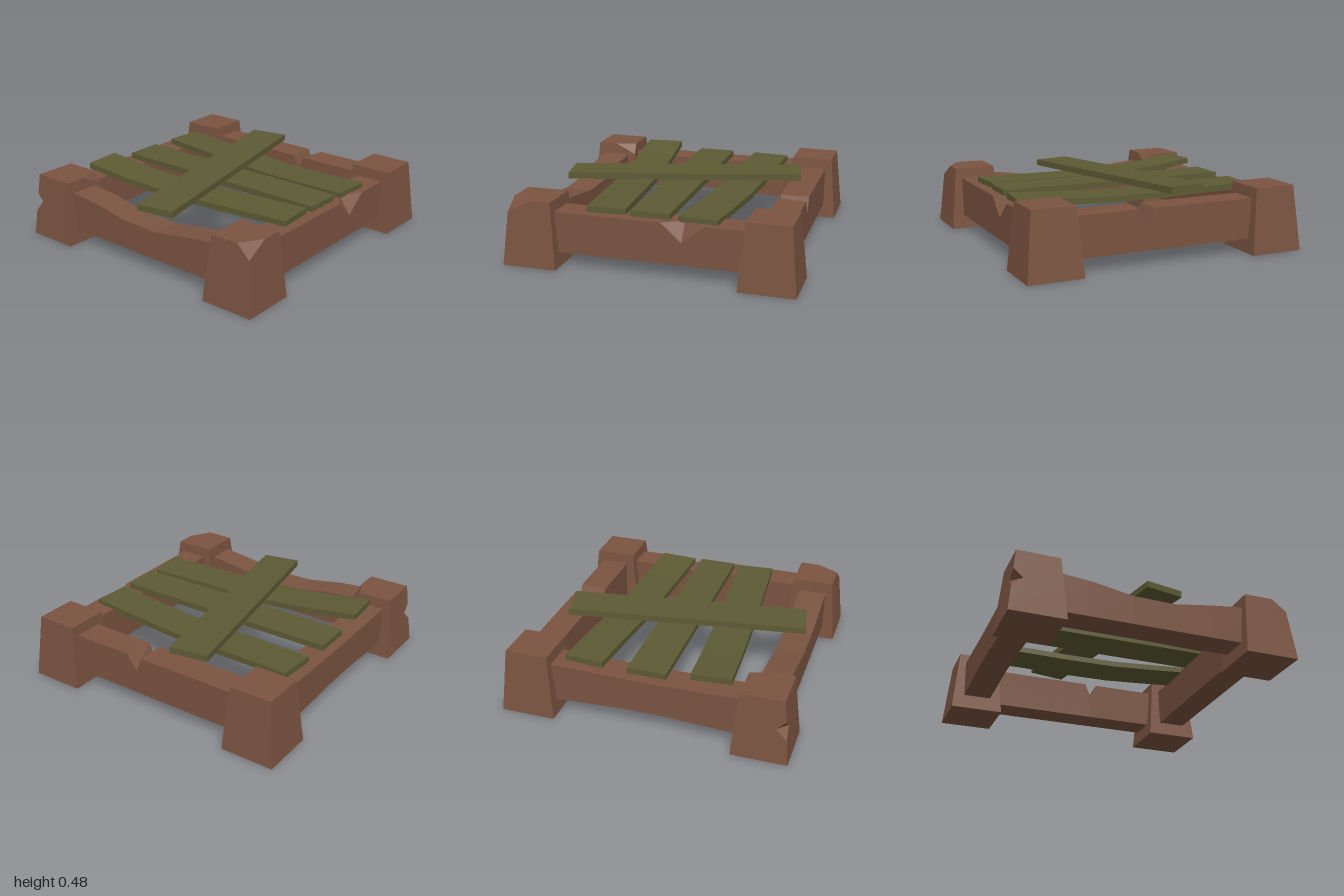
import * as THREE from 'three';
import { ConvexGeometry } from 'three/addons/geometries/ConvexGeometry.js';

const wood = new THREE.MeshStandardMaterial({ color: 0x7b5441, flatShading: true });
const plankWood = new THREE.MeshStandardMaterial({ color: 0x5d5b34, flatShading: true });

const H = 0.455;

// Solid from the corner points of a convex block
function block(points, name) {
  const geo = new ConvexGeometry(points.map((p) => new THREE.Vector3(...p)));
  const mesh = new THREE.Mesh(geo, wood);
  mesh.name = name;
  return mesh;
}

// Bar along z whose top and bottom follow evenly spaced heights
function bentBar(width, length, tops, bottoms, material, name) {
  const n = tops.length - 1;
  const geo = new THREE.BoxGeometry(width, 1, length, 1, 1, n);
  const pos = geo.attributes.position;
  for (let i = 0; i < pos.count; i++) {
    const k = Math.round((pos.getZ(i) / length + 0.5) * n);
    pos.setY(i, pos.getY(i) > 0 ? tops[k] : bottoms[k]);
  }
  geo.computeVertexNormals();
  const mesh = new THREE.Mesh(geo, material);
  mesh.name = name;
  return mesh;
}

// Horizontal section of a tapered post at height y: inner and outer limits
function limits(y) {
  const t = y / H;
  return [0.62 + 0.038 * t, 1 - 0.045 * t];
}

// Corner of a post section; sx, sz choose the quadrant, ox, oz the outer side
function corner(sx, sz, y, ox, oz) {
  const l = limits(y);
  return [sx * l[ox], y, sz * l[oz]];
}

function section(sx, sz, y, skip = '') {
  return [[0, 0], [1, 0], [1, 1], [0, 1]]
    .filter(([a, b]) => `${a}${b}` !== skip)
    .map(([a, b]) => corner(sx, sz, y, a, b));
}

function createPosts() {
  const posts = new THREE.Group();
  posts.name = 'cornerPosts';

  // Whole posts on the left
  for (const sz of [1, -1]) {
    posts.add(block([...section(1, sz, 0), ...section(1, sz, H)],
      sz > 0 ? 'frontLeftPost' : 'backLeftPost'));
  }

  // Front right post with a chipped outer top corner
  posts.add(block([
    ...section(-1, 1, 0), ...section(-1, 1, H, '11'),
    [-0.955, H, 0.865], [-0.8, H, 0.955], corner(-1, 1, 0.37, 1, 1),
  ], 'frontRightPost'));

  // Back right post: notch in the outer edge, chip at the inner top corner
  const back = new THREE.Group();
  back.name = 'backRightPost';
  const y = 0.25;
  const [, o] = limits(y);
  const waist = [...section(-1, -1, y, '11'), [-o, y, -o + 0.07], [-o + 0.07, y, -o]];
  back.add(block([...section(-1, -1, 0), ...waist, corner(-1, -1, 0.18, 1, 1)], 'postLower'));
  back.add(block([
    ...waist, corner(-1, -1, 0.31, 1, 1), ...section(-1, -1, H, '00'),
    [-0.81, H, -0.658], [-0.658, H, -0.71], corner(-1, -1, 0.38, 0, 0),
  ], 'postUpper'));
  posts.add(back);
  return posts;
}

function createBeams() {
  const beams = new THREE.Group();
  beams.name = 'beams';
  const E = 0.72, lo = 0.1, hi = 0.38, a = 0.71, b = 0.91;

  // Front beam, split at the crease of the chip in its top edge
  const chip = [[0.23, lo, a], [0.23, lo, b], [0.23, hi, a], [0.23, hi, 0.82], [0.23, 0.255, b]];
  for (const [end, lip] of [[-E, 0.09], [E, 0.385]]) {
    beams.add(block([
      ...chip, [lip, hi, b],
      [end, lo, a], [end, lo, b], [end, hi, a], [end, hi, b],
    ], 'frontBeam'));
  }

  // Left beam, split at the bottom of the V cut across it
  const cut = [[a, lo, 0.135], [b, lo, 0.135], [a, 0.27, 0.135], [b, 0.27, 0.135]];
  for (const [end, z1, z2] of [[-E, 0.09, 0.09], [E, 0.18, 0.21]]) {
    beams.add(block([
      ...cut, [a, hi, z1], [b, hi, z2],
      [a, lo, end], [b, lo, end], [a, hi, end], [b, hi, end],
    ], 'leftBeam'));
  }

  // Sagging right beam
  const right = bentBar(0.2, 2 * E, [0.38, 0.355, 0.305, 0.3, 0.345, 0.38],
    [0.1, 0.1, 0.1, 0.1, 0.1, 0.1], wood, 'rightBeam');
  right.position.x = -0.81;
  beams.add(right);

  // Back beam, slightly arched underneath
  const back = bentBar(0.2, 2 * E, [0.38, 0.375, 0.37, 0.37, 0.375, 0.38],
    [0.1, 0.115, 0.13, 0.13, 0.115, 0.1], wood, 'backBeam');
  back.rotation.y = Math.PI / 2;
  back.position.z = -0.81;
  beams.add(back);
  return beams;
}

function createPlanks() {
  const planks = new THREE.Group();
  planks.name = 'planks';
  // x, z, turn, and top heights from back to front
  const layout = [
    ['rightPlank', -0.378, -0.005, 0.08, [0.465, 0.425, 0.405, 0.405, 0.412, 0.42]],
    ['middlePlank', -0.003, -0.003, 0, [0.42, 0.42, 0.42, 0.42, 0.42, 0.42]],
    ['leftPlank', 0.385, 0.01, -0.071, [0.42, 0.41, 0.395, 0.388, 0.4, 0.415]],
  ];
  for (const [name, x, z, turn, tops] of layout) {
    const plank = bentBar(0.272, 1.69, tops, tops.map((t) => t - 0.042), plankWood, name);
    plank.position.set(x, 0, z);
    plank.rotation.y = turn;
    planks.add(plank);
  }

  // Plank laid across the others, rising to the left
  const cross = new THREE.Mesh(new THREE.BoxGeometry(1.695, 0.045, 0.274), plankWood);
  cross.name = 'crossPlank';
  cross.position.set(-0.038, 0.444, -0.06);
  cross.rotation.set(0, 0.187, 0.021);
  planks.add(cross);
  return planks;
}

export function createModel() {
  const model = new THREE.Group();
  model.name = 'woodenPallet';
  model.add(createPosts(), createBeams(), createPlanks());
  return model;
}
